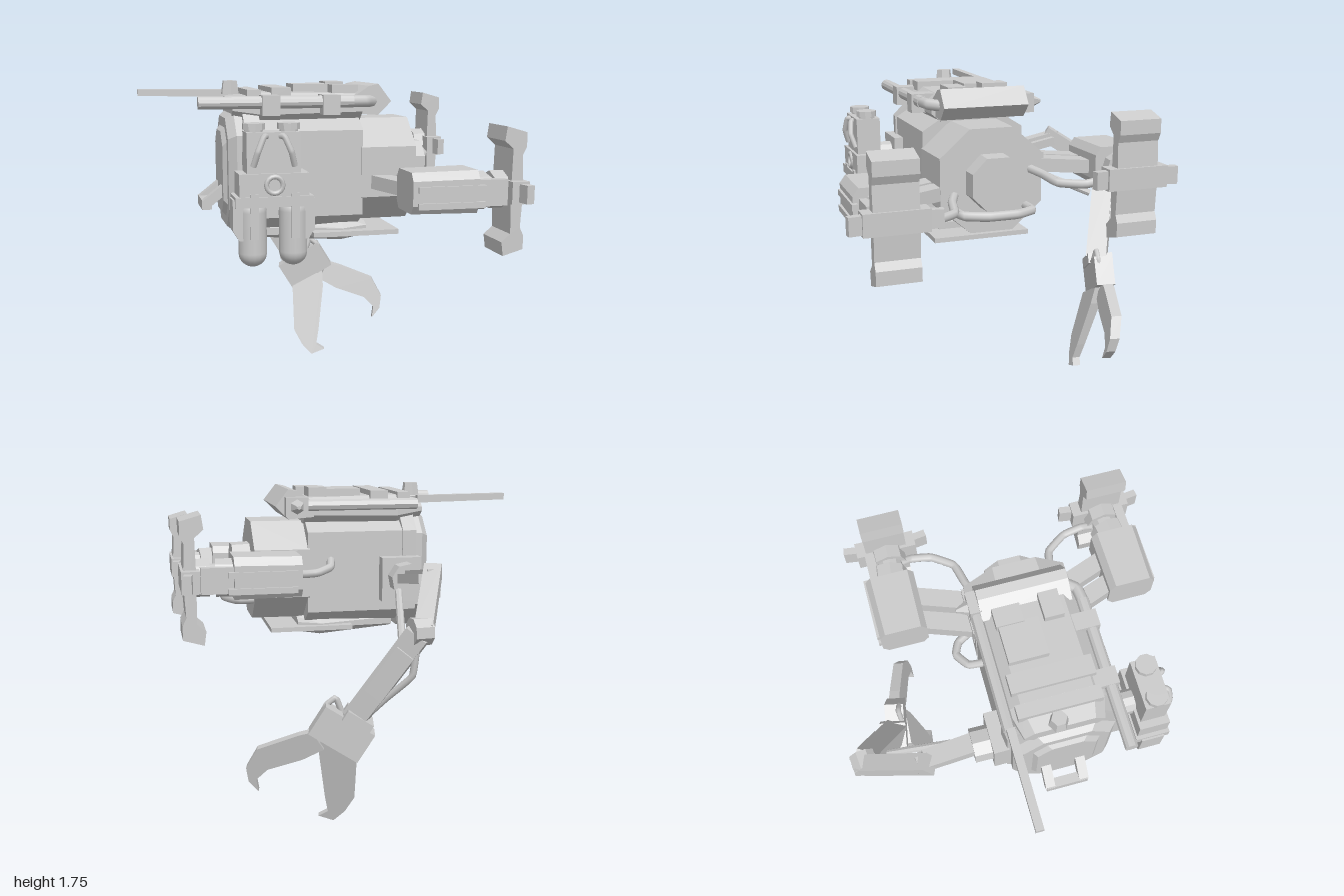
import * as THREE from 'three';

const flat = new THREE.MeshStandardMaterial({ color: 0xcccccc, flatShading: true, side: THREE.DoubleSide });
const smooth = new THREE.MeshStandardMaterial({ color: 0xcccccc });
const V = (p) => new THREE.Vector3(...p);

function add(parent, name, geo, pos = [0, 0, 0], mat = flat) {
  const m = new THREE.Mesh(geo, mat);
  m.name = name;
  m.position.set(...pos);
  parent.add(m);
  return m;
}
const box = (g, name, size, pos) => add(g, name, new THREE.BoxGeometry(...size), pos);

// cylinder between two points
function rod(g, name, a, b, r, sides = 8, r2 = r) {
  const d = V(b).sub(V(a));
  const m = add(g, name, new THREE.CylinderGeometry(r2, r, d.length(), sides), V(a).add(V(b)).multiplyScalar(0.5).toArray());
  m.quaternion.setFromUnitVectors(new THREE.Vector3(0, 1, 0), d.normalize());
}
// rectangular bar between two points (call before the parent is rotated)
function beam(g, name, a, b, w, h) {
  const m = box(g, name, [w, h, V(a).distanceTo(V(b))], V(a).add(V(b)).multiplyScalar(0.5).toArray());
  m.lookAt(V(b));
}
function hose(g, name, pts, r) {
  const c = new THREE.CatmullRomCurve3(pts.map(V), false, 'catmullrom', 0.15);
  add(g, name, new THREE.TubeGeometry(c, 24, r, 8), [0, 0, 0], smooth);
}
// chamfered hull along x; each section is [x, halfHeight, halfWidth, chamferY, chamferZ]
function hull(g, name, sections, pos) {
  const rings = sections.map(([x, h, w, cy, cz]) => [
    [h, -w + cz], [h, w - cz], [h - cy, w], [-h + cy, w],
    [-h, w - cz], [-h, -w + cz], [-h + cy, -w], [h - cy, -w]].map(([y, z]) => [x, y, z]));
  const out = [];
  const tri = (a, b, c) => out.push(...a, ...b, ...c);
  for (let i = 0; i + 1 < rings.length; i++) for (let j = 0; j < 8; j++) {
    const k = (j + 1) % 8, [p, q] = [rings[i], rings[i + 1]];
    tri(p[j], p[k], q[k]);
    tri(p[j], q[k], q[j]);
  }
  const first = rings[0], last = rings[rings.length - 1];
  for (let j = 1; j < 7; j++) {
    tri(first[0], first[j + 1], first[j]);
    tri(last[0], last[j], last[j + 1]);
  }
  const geo = new THREE.BufferGeometry();
  geo.setAttribute('position', new THREE.Float32BufferAttribute(out, 3));
  geo.computeVertexNormals();
  add(g, name, geo, pos);
}
// outline in x,y given a thickness in z
function slab(pts, depth) {
  const s = new THREE.Shape(pts.map(([x, y]) => new THREE.Vector2(x, y)));
  return new THREE.ExtrudeGeometry(s, { depth, bevelEnabled: false }).translate(0, 0, -depth / 2);
}

function buildHull(g) {
  const c = [0, 1.28, 0.15];
  hull(g, 'mainHull', [[-0.45, 0.3, 0.28, 0.08, 0.13], [0.11, 0.3, 0.28, 0.08, 0.13]], c);
  hull(g, 'frontFlange', [[-0.5, 0.33, 0.28, 0.11, 0.11], [-0.42, 0.33, 0.29, 0.11, 0.11]], c);
  hull(g, 'frontCap', [[-0.58, 0.28, 0.22, 0.1, 0.1], [-0.54, 0.31, 0.26, 0.11, 0.11], [-0.5, 0.31, 0.26, 0.11, 0.11]], c);
  hull(g, 'frontPanel', [[-0.6, 0.21, 0.15, 0.07, 0.07], [-0.58, 0.23, 0.17, 0.07, 0.07]], c);
  hull(g, 'rearHull', [[0.1, 0.27, 0.285, 0.14, 0.16], [0.4, 0.27, 0.275, 0.14, 0.16]], c);
  hull(g, 'rearHub', [[0.38, 0.14, 0.14, 0.08, 0.08], [0.5, 0.135, 0.135, 0.075, 0.075]], c);
  hose(g, 'rearHandle', [[0.4, 1.13, -0.04], [0.49, 1.13, -0.04], [0.545, 1.13, 0.06], [0.545, 1.13, 0.22], [0.49, 1.13, 0.33], [0.4, 1.13, 0.34]], 0.025);
  // square grab handle on the front cap
  for (const z of [0.05, 0.23]) beam(g, 'grabHandleLeg', [-0.55, 1.22, z], [-0.69, 1.11, z], 0.05, 0.05);
  beam(g, 'grabHandleBar', [-0.68, 1.11, 0.03], [-0.68, 1.11, 0.25], 0.05, 0.05);
  // belly plates
  hull(g, 'bellyBulge', [[-0.4, 0.04, 0.16, 0.02, 0.06], [0.02, 0.06, 0.22, 0.05, 0.06], [0.15, 0.04, 0.2, 0.02, 0.05]], [0, 0.97, 0.16]);
  box(g, 'bellyPlate', [0.46, 0.025, 0.52], [0.08, 0.96, 0.17]);
  box(g, 'bellyStep', [0.32, 0.02, 0.36], [0.08, 0.94, 0.17]);
  for (let i = 0; i < 3; i++) box(g, 'bellyRib', [0.03, 0.02, 0.22], [-0.01 + i * 0.08, 0.925, 0.16]);
}

function buildDeck(g) {
  hull(g, 'topDeck', [[-0.55, 0.05, 0.2, 0.04, 0.05], [-0.4, 0.08, 0.24, 0.05, 0.06], [0.12, 0.07, 0.24, 0.05, 0.06]], [0, 1.61, 0.14]);
  // pointed crossbar at the rear of the deck, with a short nose on its far end
  add(g, 'rearCrossbar', slab([[0.07, 1.58], [0.21, 1.57], [0.28, 1.64], [0.21, 1.73], [0.16, 1.72], [0.07, 1.66]], 0.46), [0, 0, 0.13]);
  box(g, 'crossbarNose', [0.12, 0.1, 0.06], [0.17, 1.64, -0.12]);
  rod(g, 'crossbarNoseTip', [0.17, 1.64, -0.15], [0.17, 1.64, -0.21], 0.04, 6, 0.01);
  for (const [x, z, sx, sz, y] of [[-0.44, 0.14, 0.07, 0.42, 1.68], [-0.3, 0.14, 0.1, 0.42, 1.69], [-0.1, 0.06, 0.2, 0.2, 1.7],
    [0.04, 0.02, 0.1, 0.14, 1.71], [0.05, 0.24, 0.14, 0.1, 1.7]]) box(g, 'deckPanel', [sx, 0.05, sz], [x, y, z]);
  add(g, 'deckKnob', new THREE.CylinderGeometry(0.04, 0.05, 0.07, 6), [-0.53, 1.71, 0.11]);
  // long barrel with brackets on the model's front side
  rod(g, 'barrel', [-0.73, 1.645, 0.41], [0.06, 1.645, 0.41], 0.032, 12);
  hose(g, 'barrelFeed', [[0.05, 1.645, 0.41], [0.13, 1.645, 0.4], [0.18, 1.64, 0.34], [0.19, 1.63, 0.25]], 0.03);
  for (const x of [-0.37, -0.06]) box(g, 'barrelBracket', [0.09, 0.1, 0.14], [x, 1.63, 0.38]);
  // blade antenna on the other side
  rod(g, 'antennaPod', [-0.5, 1.645, -0.12], [0.12, 1.645, -0.12], 0.03, 8);
  add(g, 'antennaBlade', slab([[-1.0, 1.66], [-1.0, 1.695], [-0.5, 1.69], [-0.5, 1.65]], 0.04), [0, 0, -0.115]);
}

function buildThruster(name, side, y, centerZ) {
  // built outward along +z, mirrored by side
  const g = new THREE.Group();
  g.name = name;
  const z = 0.637, plateZ = 0.617;
  for (const x of [0.19, 0.33]) {
    const s = [x, 0.01, 0.25], e = [x + 0.11, 0, z - 0.1];
    box(g, 'strutSocket', [0.12, 0.13, 0.08], s);
    beam(g, 'strut', s, e, 0.1, 0.07);
  }
  hull(g, 'thrusterPod', [[0.225, 0.1, 0.125, 0.04, 0.03], [0.56, 0.105, 0.13, 0.04, 0.03]], [0, 0.01, z]);
  for (const yy of [0.03, -0.05]) box(g, 'podRail', [0.34, 0.03, 0.03], [0.42, yy, z + 0.125]);
  rod(g, 'collar', [0.55, 0, z], [0.64, 0, z - 0.01], 0.095, 8);
  box(g, 'collarBracket', [0.18, 0.13, 0.05], [0.63, 0, z + 0.075]);
  rod(g, 'neck', [0.62, 0, z - 0.01], [0.7, 0, plateZ], 0.07, 12);
  rod(g, 'endCollar', [0.67, 0, plateZ], [0.75, 0, plateZ], 0.095, 8);
  // cross-shaped end plate with hooked tips
  const half = [[0.035, 0], [0.025, 0.18], [0.045, 0.22], [0.045, 0.29], [-0.06, 0.32], [-0.07, 0.25], [-0.025, 0.21], [-0.03, 0]];
  const low = half.slice(1, 7).reverse().map(([a, b]) => [a, -b]);
  add(g, 'endPlate', slab([...half, ...low], 0.22), [0.77, 0, plateZ]);
  box(g, 'endCrossbar', [0.09, 0.11, 0.32], [0.77, 0, plateZ]);
  for (const s of [-1, 1]) beam(g, 'crossbarTip', [0.78, 0, plateZ + s * 0.15], [0.79, 0, plateZ + s * 0.225], 0.04, 0.09);
  hose(g, 'supplyHose', [[0.36, 0.0, 0.2], [0.47, -0.02, 0.25], [0.6, -0.04, 0.28], [0.68, -0.04, 0.39], [0.69, -0.02, 0.5], [0.67, 0, 0.56]], 0.023);
  g.position.set(0, y, centerZ);
  g.scale.z = side;
  return g;
}

function buildToolPod() {
  const g = new THREE.Group();
  g.name = 'toolPod';
  box(g, 'podMount', [0.22, 0.2, 0.08], [0, 1.3, -0.19]);
  rod(g, 'podNeck', [0, 1.3, -0.24], [0, 1.3, 0], 0.065, 10);
  box(g, 'upperBlock', [0.26, 0.22, 0.13], [0, 1.41, 0]);
  box(g, 'middleBlock', [0.34, 0.13, 0.16], [0, 1.26, 0]);
  box(g, 'lowerBlock', [0.38, 0.05, 0.18], [0, 1.19, 0]);
  add(g, 'lensRing', new THREE.TorusGeometry(0.04, 0.012, 6, 16), [0, 1.27, 0.08], smooth);
  for (const s of [-1, 1]) {
    add(g, 'tank', new THREE.CapsuleGeometry(0.07, 0.2, 8, 16), [s * 0.1, 1.035, 0.015], smooth);
    rod(g, 'filler', [s * 0.085, 1.5, 0], [s * 0.085, 1.53, 0], 0.045, 10);
    rod(g, 'fillerCap', [s * 0.085, 1.53, 0], [s * 0.085, 1.56, 0], 0.055, 10);
    hose(g, 'fillerHose', [[s * 0.03, 1.5, 0.05], [s * 0.05, 1.5, 0.08], [s * 0.08, 1.43, 0.09], [s * 0.1, 1.36, 0.07]], 0.015);
    add(g, 'sideFin', slab([[0.14, 1.2], [0.2, 1.2], [0.2, 1.05], [0.17, 1.0], [0.14, 1.0]].map(([x, y]) => [s * x, y]), 0.12));
    box(g, 'tankStrap', [0.04, 0.22, 0.04], [s * 0.1, 1.12, 0.07]);
  }
  g.position.set(-0.405, 0, 0.63);
  return g;
}

function buildArm() {
  const g = new THREE.Group();
  g.name = 'manipulatorArm';
  const bend = [-0.47, 1.09, -0.77], wrist = [-0.17, 0.63, -0.66];
  // upper arm rises slightly to the elbow, then the link drops to the bend
  rod(g, 'shoulderJoint', [-0.43, 1.25, -0.05], [-0.46, 1.25, -0.2], 0.09, 8);
  beam(g, 'upperArm', [-0.46, 1.26, -0.15], [-0.57, 1.32, -0.48], 0.07, 0.07);
  beam(g, 'upperArmRail', [-0.4, 1.25, -0.15], [-0.51, 1.3, -0.45], 0.04, 0.05);
  beam(g, 'elbowLink', [-0.57, 1.34, -0.41], [-0.49, 1.1, -0.79], 0.09, 0.09);
  rod(g, 'elbowPin', [-0.52, 1.1, -0.76], [-0.43, 1.1, -0.79], 0.07, 8);
  rod(g, 'piston', [-0.41, 1.2, -0.18], [-0.4, 0.99, -0.66], 0.02);
  beam(g, 'forearm', bend, wrist, 0.12, 0.12);
  beam(g, 'forearmCover', [-0.42, 1.0, -0.76], [-0.27, 0.77, -0.71], 0.13, 0.1);
  hose(g, 'forearmHose', [[-0.46, 1.08, -0.81], [-0.44, 0.88, -0.79], [-0.32, 0.75, -0.73], [-0.22, 0.64, -0.69]], 0.018);
  // gripper body, tilted
  box(g, 'gripperPalm', [0.29, 0.17, 0.11], [-0.1, 0.55, -0.66]).rotation.z = 0.55;
  box(g, 'wristCuff', [0.15, 0.06, 0.15], [-0.18, 0.62, -0.67]).rotation.z = 0.55;
  hose(g, 'gripperLoop', [[-0.1, 0.64, -0.62], [-0.07, 0.72, -0.63], [-0.02, 0.68, -0.63], [0.0, 0.6, -0.64]], 0.016);
  // hooked fingers, leaning forward toward their tips
  const fingers = [
    [[[0.01, 0.52], [-0.18, 0.42], [-0.17, 0.15], [-0.12, 0.06], [-0.06, 0.0], [0.02, 0.03], [-0.03, 0.06], [-0.015, 0.15], [0.015, 0.42]], 0.27, -0.635],
    [[[0.05, 0.56], [-0.01, 0.46], [0.1, 0.4], [0.28, 0.34], [0.34, 0.28], [0.33, 0.21], [0.38, 0.27], [0.39, 0.35], [0.33, 0.46], [0.12, 0.54]], 0.2, -0.66]];
  for (const [pts, lean, z] of fingers) {
    const geo = slab(pts, 0.06), p = geo.attributes.position;
    for (let i = 0; i < p.count; i++) p.setZ(i, p.getZ(i) * (0.7 + p.getY(i) * 0.6) + z + lean * (0.5 - p.getY(i)));
    geo.computeVertexNormals();
    add(g, 'finger', geo);
  }
  return g;
}

export function createModel() {
  const model = new THREE.Group();
  model.name = 'utilityDrone';
  const body = new THREE.Group();
  body.name = 'body';
  buildHull(body);
  buildDeck(body);
  hose(body, 'sideHose', [[-0.02, 1.35, -0.11], [0.0, 1.32, -0.2], [0.08, 1.3, -0.25], [0.15, 1.29, -0.22], [0.2, 1.29, -0.13]], 0.022);
  box(body, 'shoulderPlate', [0.22, 0.24, 0.08], [-0.4, 1.24, -0.16]);
  body.add(buildThruster('leftFrontThruster', 1, 1.22, 0.135), buildThruster('leftRearThruster', -1, 1.33, 0.15), buildToolPod());
  body.rotation.y = 0.21;
  model.add(body, buildArm());
  return model;
}
